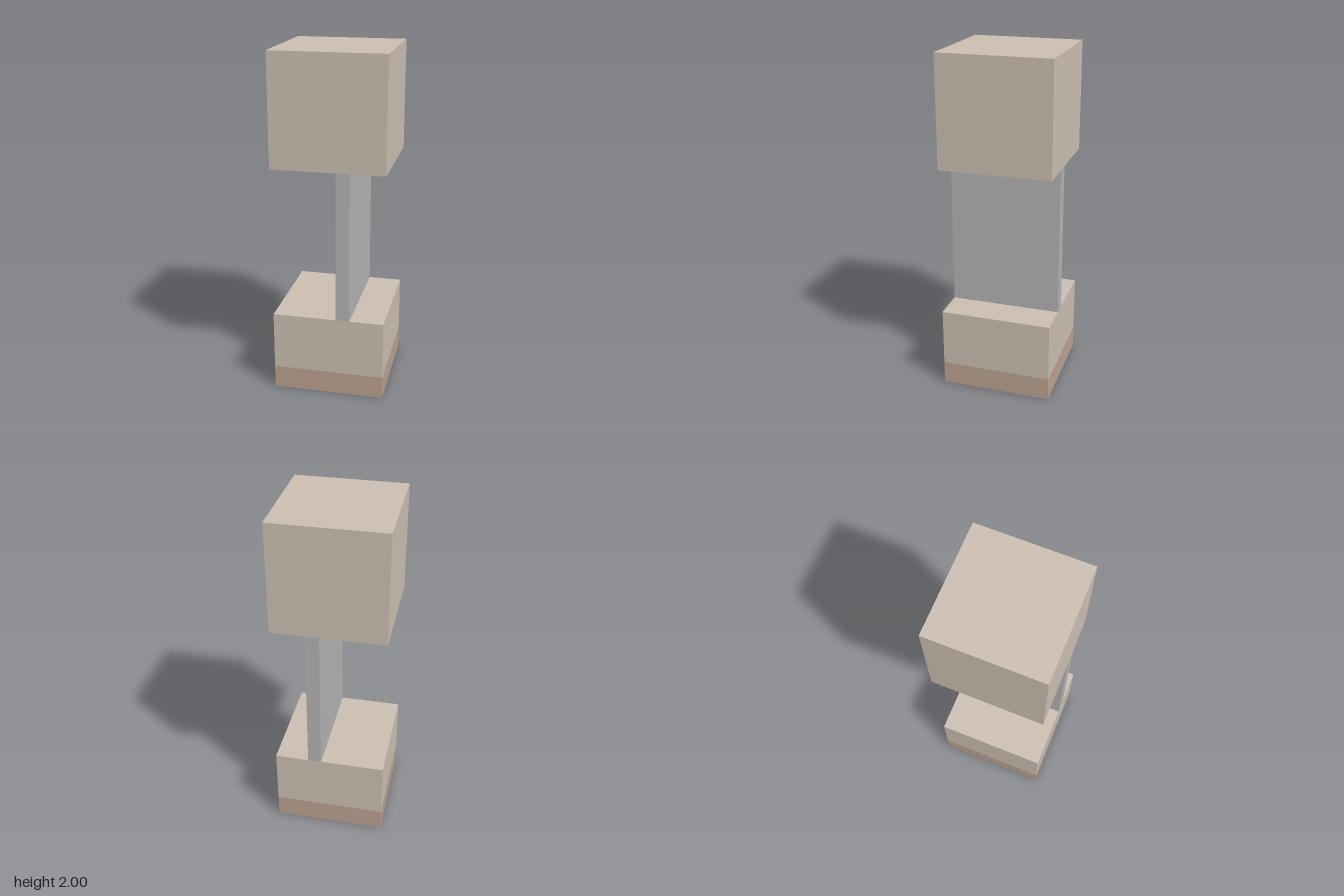
import * as THREE from 'three';

const WIDTH = 0.65;

function material(name, color, side = THREE.FrontSide) {
  const m = new THREE.MeshStandardMaterial({ color, side });
  m.name = name;
  return m;
}

// Box between two heights; any of its six sides can be left open
// (side order: +x, -x, top, bottom, +z, -z)
function block(name, width, y0, y1, mat, openSides = []) {
  const geometry = new THREE.BoxGeometry(width, y1 - y0, WIDTH);
  const index = Array.from(geometry.index.array);
  geometry.setIndex(index.filter((_, i) => !openSides.includes(Math.floor(i / 6))));
  geometry.clearGroups();
  const mesh = new THREE.Mesh(geometry, mat);
  mesh.name = name;
  mesh.position.y = (y0 + y1) / 2;
  return mesh;
}

export function createModel() {
  const TOP = 2, BOTTOM = 3;
  const stone = material('stone', 0xcabeb0, THREE.DoubleSide);
  const clay = material('clay', 0xb9a08f, THREE.DoubleSide);
  const steel = material('steel', 0xb2b2b2);

  const model = new THREE.Group();
  model.name = 'pillar';

  // Hollow base, open underneath, with a darker band round its foot
  model.add(block('baseBand', WIDTH, 0, 0.135, clay, [TOP, BOTTOM]));
  model.add(block('baseBlock', WIDTH, 0.135, 0.477, stone, [BOTTOM]));

  // Off-centre upright plate joining the two blocks
  const plate = block('uprightPlate', 0.08, 0.477, 1.355, steel, [TOP, BOTTOM]);
  plate.position.x = 0.087;
  model.add(plate);

  // Closed upper block
  model.add(block('upperBlock', WIDTH, 1.355, 2, stone));
  return model;
}
